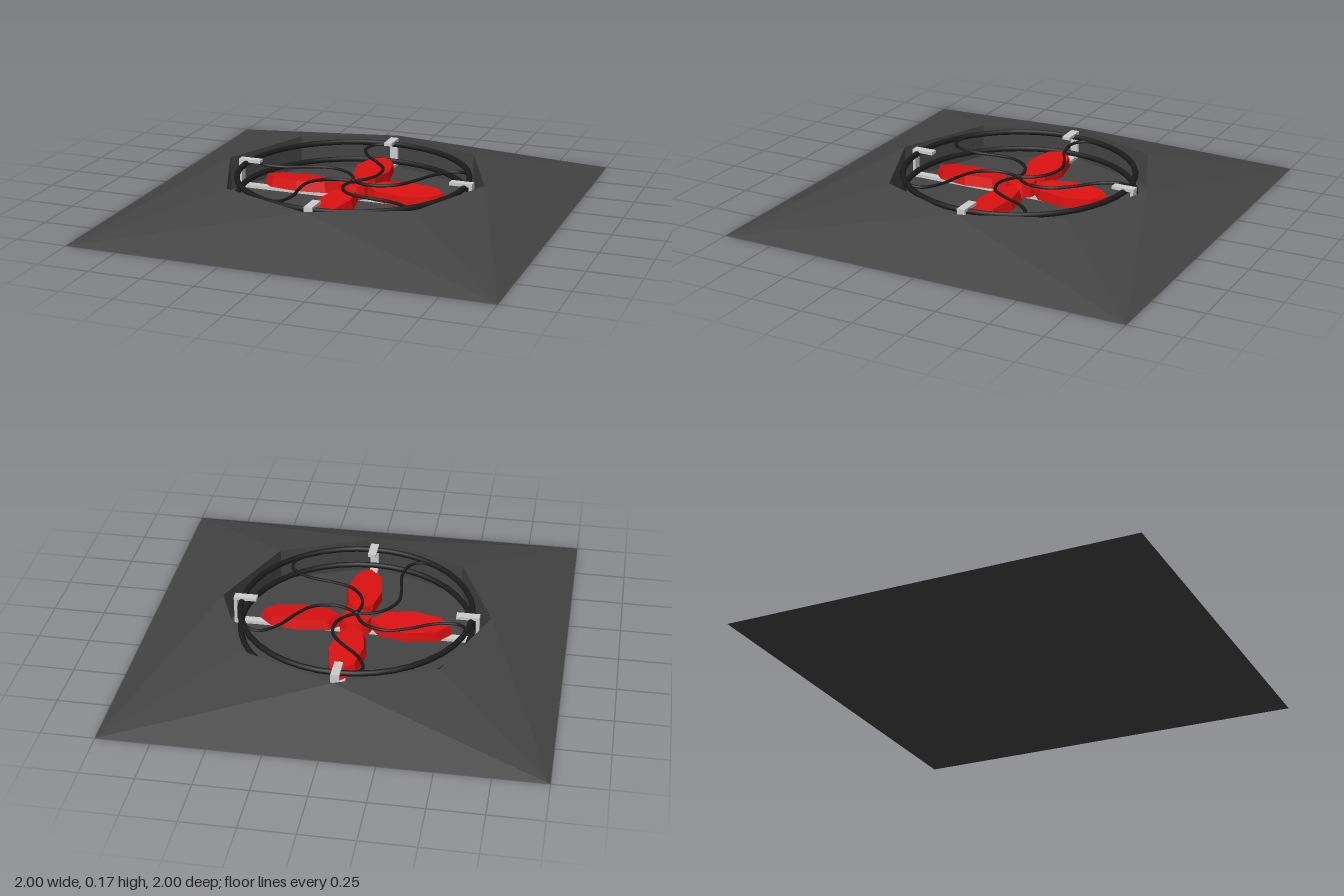
import * as THREE from 'three';

const material = (color, extra = {}) => new THREE.MeshStandardMaterial({ color, ...extra });

export function createModel() {
  const model = new THREE.Group();
  const dark = material(0x444444, { flatShading: true, side: THREE.DoubleSide });
  const black = material(0x1c1c1c);
  const red = material(0xdd1111, { flatShading: true });
  const grey = material(0xcccccc);

  const add = (parent, name, geometry, mat, x = 0, y = 0, z = 0) => {
    const mesh = new THREE.Mesh(geometry, mat);
    mesh.name = name;
    mesh.position.set(x, y, z);
    parent.add(mesh);
    return mesh;
  };

  // Sloped housing: square base rising to an octagonal well
  const top = 0.165, rim = 0.645;
  const ring = (radius, y) => Array.from({ length: 8 }, (_, i) => {
    const a = (i * Math.PI) / 4;
    const r = radius(i);
    return [r * Math.sin(a), y, r * Math.cos(a)];
  });
  const base = ring((i) => (i % 2 ? Math.SQRT2 : 1), 0);
  const upper = ring(() => rim, top);
  const lower = ring(() => rim, 0);
  const tris = [];
  for (let i = 0; i < 8; i++) {
    const j = (i + 1) % 8;
    if (i % 2) tris.push(base[i], base[j], upper[j], base[i], upper[j], upper[i]);
    else tris.push(base[i], base[j], upper[i], base[j], upper[j], upper[i]);
    // Inner wall of the well
    tris.push(upper[i], upper[j], lower[j], upper[i], lower[j], lower[i]);
  }
  const shell = new THREE.BufferGeometry();
  shell.setAttribute('position', new THREE.Float32BufferAttribute(tris.flat(), 3));
  shell.computeVertexNormals();
  add(model, 'housing', shell, dark);
  add(model, 'floor', new THREE.PlaneGeometry(2, 2).rotateX(-Math.PI / 2), dark);

  // Two stacked guard hoops
  const hoop = new THREE.TorusGeometry(0.553, 0.014, 8, 40).rotateX(Math.PI / 2);
  add(model, 'upperHoop', hoop, black, 0, 0.15, 0.012);
  add(model, 'lowerHoop', hoop, black, 0, 0.06, 0.012);

  // Rotor blades and C-shaped clamps, one of each per quarter turn
  for (let i = 0; i < 4; i++) {
    const arm = new THREE.Group();
    arm.name = 'arm';
    arm.rotation.y = (i * Math.PI) / 2;
    model.add(arm);

    add(arm, 'lowerBar', new THREE.BoxGeometry(0.59, 0.015, 0.04), grey, 0.295, 0.035);
    add(arm, 'clampPost', new THREE.BoxGeometry(0.015, 0.14, 0.04), grey, 0.5825, 0.1);
    add(arm, 'clampTop', new THREE.BoxGeometry(0.11, 0.015, 0.04), grey, 0.535, 0.1625);

    const blade = add(arm, 'blade', new THREE.CylinderGeometry(0.93, 1, 0.05, 8), red, 0.262, 0.08);
    blade.scale.set(0.2, 1, 0.09);
    blade.rotation.x = 0.1;
  }
  add(model, 'hub', new THREE.CylinderGeometry(0.07, 0.08, 0.065, 12), red, 0, 0.0775);

  // Five S-shaped guard wires from the centre out to the upper hoop
  const wirePath = new THREE.CatmullRomCurve3([
    [0, 0.12, 0], [0.06, 0.122, 0.035], [0.13, 0.125, 0.045], [0.22, 0.128, 0.01],
    [0.28, 0.13, -0.07], [0.34, 0.133, -0.18], [0.42, 0.137, -0.25],
    [0.48, 0.143, -0.24], [0.515, 0.15, -0.18],
  ].map((p) => new THREE.Vector3(...p)));
  const wire = new THREE.TubeGeometry(wirePath, 40, 0.008, 6);
  for (let i = 0; i < 5; i++) {
    add(model, 'guardWire', wire, black, 0, 0, 0.012).rotation.y = (i * Math.PI * 2) / 5;
  }
  add(model, 'wireBoss', new THREE.SphereGeometry(0.014, 10, 8), black, 0, 0.12, 0.012);

  return model;
}
